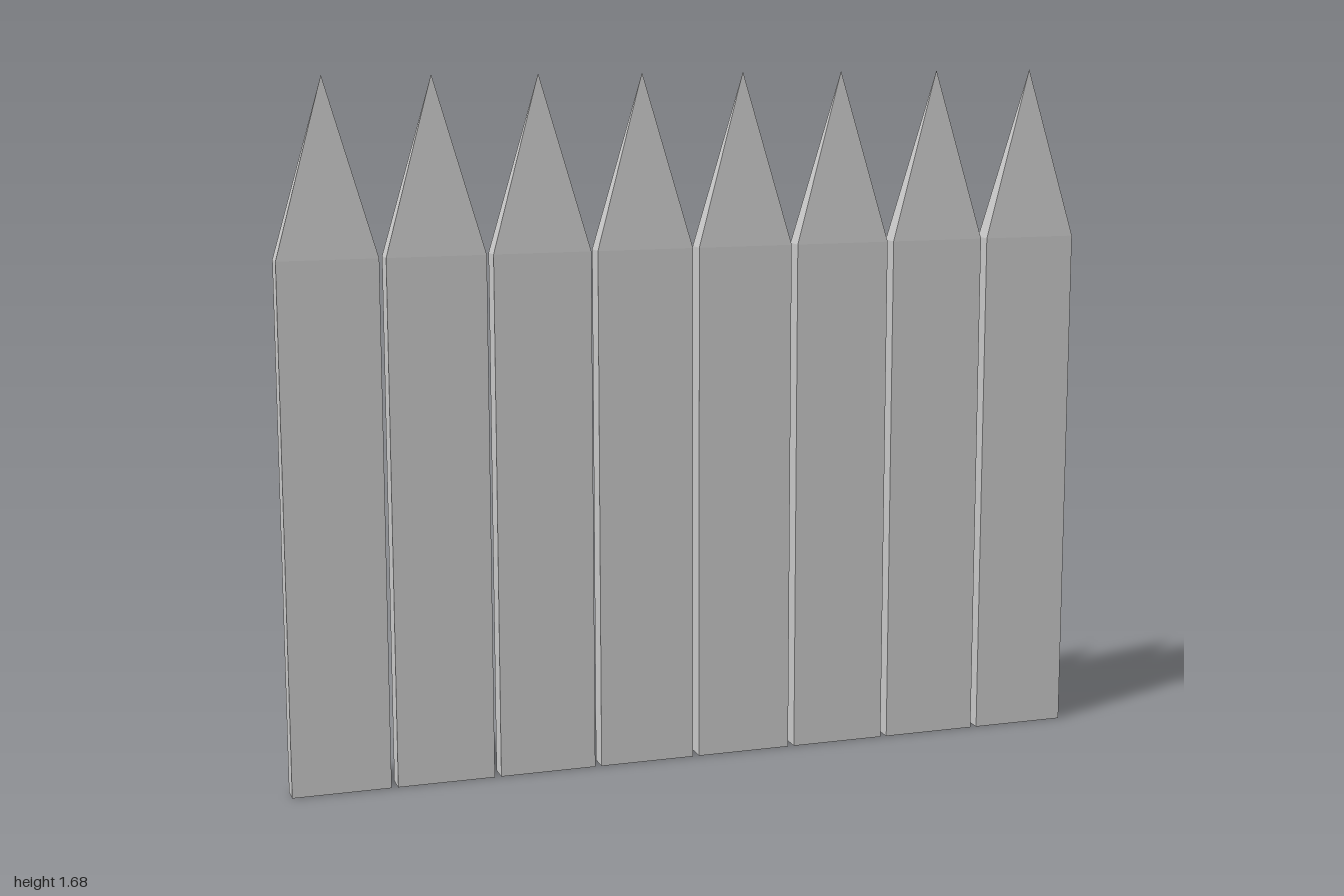
import * as THREE from 'three';

const COUNT = 8, PITCH = 0.252, WIDTH = 0.236, DEPTH = 0.05;
const SHOULDER = 1.265, HEIGHT = 1.68;

export function createModel() {
  const fence = new THREE.Group();
  fence.name = 'picketFence';
  const material = new THREE.MeshStandardMaterial({ color: 0xcccccc, flatShading: true });

  // Plain upright board
  const boardGeometry = new THREE.BoxGeometry(WIDTH, SHOULDER, DEPTH);
  boardGeometry.translate(0, SHOULDER / 2, 0);

  // Four-sided pyramid squashed to the board's section
  const tipHeight = HEIGHT - SHOULDER;
  const tipGeometry = new THREE.ConeGeometry(Math.SQRT1_2, tipHeight, 4, 1, true);
  tipGeometry.rotateY(Math.PI / 4);
  tipGeometry.scale(WIDTH, 1, DEPTH);
  tipGeometry.translate(0, SHOULDER + tipHeight / 2, 0);

  // Row of identical pickets with narrow gaps
  for (let i = 0; i < COUNT; i++) {
    const picket = new THREE.Group();
    picket.name = `picket${i + 1}`;
    const board = new THREE.Mesh(boardGeometry, material);
    board.name = 'board';
    const tip = new THREE.Mesh(tipGeometry, material);
    tip.name = 'pointedTip';
    picket.add(board, tip);
    picket.position.x = (i - (COUNT - 1) / 2) * PITCH;
    fence.add(picket);
  }
  return fence;
}
